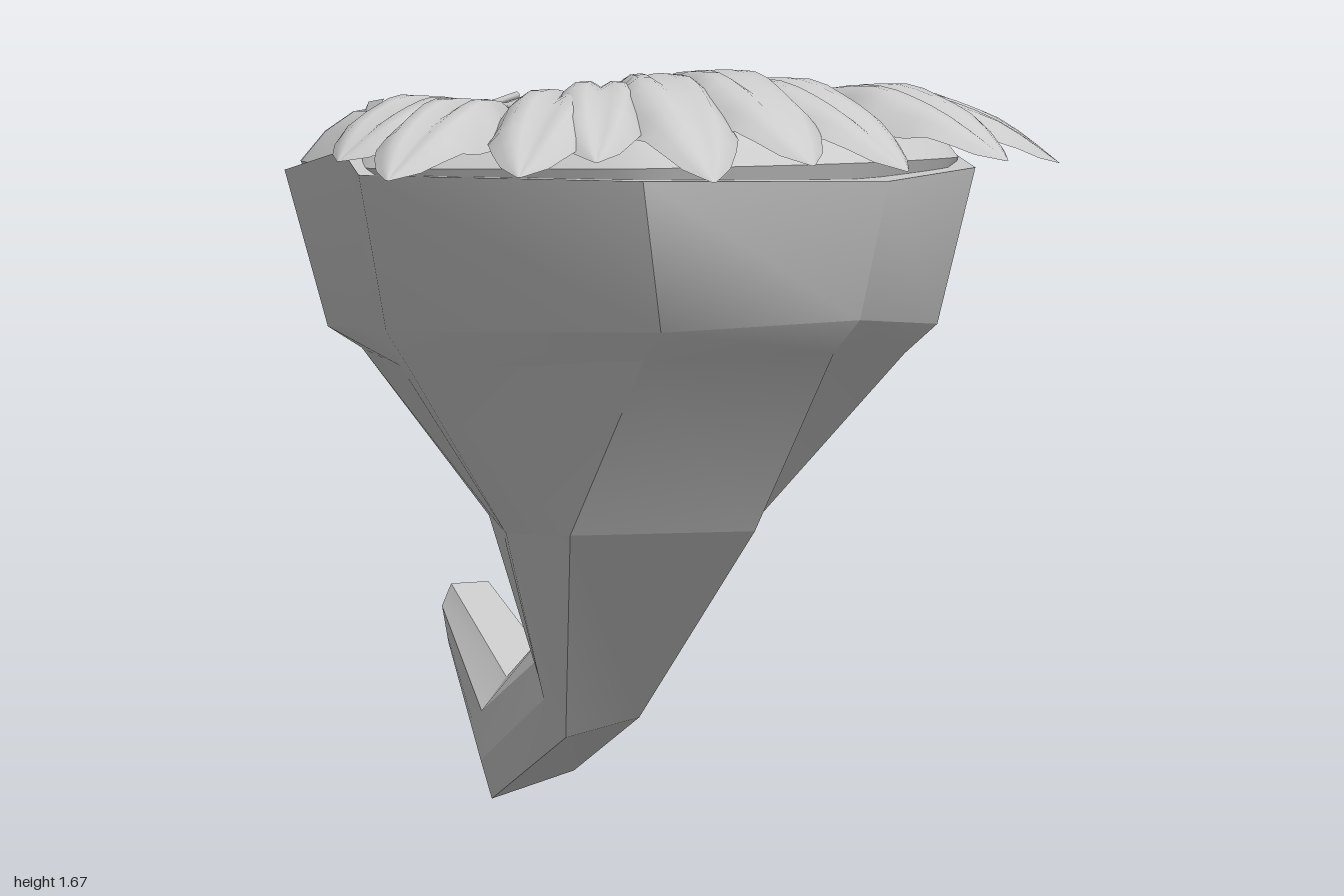
import * as THREE from 'three';
import { toCreasedNormals } from 'three/addons/utils/BufferGeometryUtils.js';

const V = (x, y, z) => new THREE.Vector3(x, y, z);

// Skin a list of closed rings (top to bottom, counter-clockwise from above) and cap both ends.
function loft(rings, crease) {
  const pos = [];
  const tri = (...p) => p.forEach((v) => pos.push(v.x, v.y, v.z));
  const n = rings[0].length;
  const mid = (r) => r.reduce((s, p) => s.add(p), V(0, 0, 0)).divideScalar(n);
  const first = rings[0], last = rings[rings.length - 1];
  const top = mid(first), bottom = mid(last);
  for (let j = 0; j < n; j++) {
    const k = (j + 1) % n;
    tri(top, first[j], first[k]);
    tri(bottom, last[k], last[j]);
    for (let i = 0; i + 1 < rings.length; i++) {
      const a = rings[i], b = rings[i + 1];
      tri(a[j], b[j], b[k]);
      tri(a[j], b[k], a[k]);
    }
  }
  const g = new THREE.BufferGeometry();
  g.setAttribute('position', new THREE.Float32BufferAttribute(pos, 3));
  return toCreasedNormals(g, crease);
}

// One horn section: half width, y, z of the front, side, back-side and back corners.
// rightFront replaces the first corners on -x; rise lifts a point between side and back-side.
function section(cx, corners, rightFront = [], rise = 0) {
  const half = (sign, list) => {
    const [front, side, backSide, back] = list.map(([w, y, z]) => V(cx + sign * w, y, z));
    const between = side.clone().lerp(backSide, 0.2);
    between.y += rise;
    return [front, side, between, backSide, back];
  };
  const minus = half(-1, corners.map((c, i) => rightFront[i] ?? c));
  return [...half(1, corners), ...minus.reverse()];
}

// A pointed leaf with a folded midrib and wavy edge, arching from its base down to its tip.
function leafGeometry(bx, bz, tx, tz, baseY, drop, half) {
  const rows = 12, cols = 8;
  const g = new THREE.PlaneGeometry(1, 1, cols, rows);
  const p = g.attributes.position;
  const dir = V(tx - bx, 0, tz - bz).normalize();
  for (let i = 0; i < p.count; i++) {
    const u = p.getX(i) * 2, t = 0.5 - p.getY(i);
    const w = half * Math.pow(Math.sin(Math.PI * Math.pow(t, 1.15)), 0.75) + 0.004;
    const fold = 0.025 * Math.sin(Math.abs(u) * Math.PI) - 0.045 * u * u + 0.012 * u * u * Math.sin(t * 18);
    const y = baseY + 0.14 * t * (1 - t) - drop * t * t + fold * Math.sin(Math.PI * t);
    p.setXYZ(i, bx + (tx - bx) * t - dir.z * u * w, y, bz + (tz - bz) * t + dir.x * u * w);
  }
  g.computeVertexNormals();
  return g;
}

export function createModel() {
  const group = new THREE.Group();
  const grey = new THREE.MeshStandardMaterial({ color: 0xcccccc });
  const thin = new THREE.MeshStandardMaterial({ color: 0xcccccc, side: THREE.DoubleSide });
  const faceted = new THREE.MeshStandardMaterial({ color: 0xcccccc, flatShading: true });
  const add = (name, geometry, material = grey) => {
    const m = new THREE.Mesh(geometry, material);
    m.name = name;
    group.add(m);
    return m;
  };

  // Bowl: six-sided and softly shaded, its -x front corner set back
  const waist = section(-0.03,
    [[0.18, 0.77, 0.48], [0.24, 0.75, 0.30], [0.22, 0.73, -0.03], [0.09, 0.73, -0.08]],
    [[0.19, 0.78, 0.47], [0.25, 0.74, 0.22]]);
  add('bowl', loft([
    section(-0.03,
      [[0.30, 1.48, 0.86], [0.56, 1.48, 0.64], [0.57, 1.42, -0.35], [0.05, 1.37, -0.63]],
      [[0.16, 1.49, 0.84], [0.57, 1.47, 0.36]], 0.045),
    section(-0.03,
      [[0.27, 1.22, 0.80], [0.50, 1.18, 0.61], [0.50, 1.10, -0.27], [0.04, 1.11, -0.51]],
      [[0.11, 1.21, 0.79], [0.50, 1.16, 0.27]]),
    section(-0.03,
      [[0.25, 1.15, 0.72], [0.45, 1.12, 0.57], [0.44, 1.06, -0.22], [0.05, 1.06, -0.42]],
      [[0.12, 1.15, 0.72], [0.45, 1.08, 0.26]]),
    waist,
  ], 0.75));

  // Tail: faceted, narrowing downwards then curling back and up
  add('tail', loft([
    waist,
    section(-0.03,
      [[0.08, 0.30, 0.045], [0.10, 0.34, -0.01], [0.09, 0.40, -0.12], [0.05, 0.46, -0.16]],
      [[0.08, 0.27, 0.05], [0.11, 0.34, -0.01]]),
    section(-0.03,
      [[0.09, 0.05, -0.48], [0.12, 0.17, -0.49], [0.11, 0.20, -0.49], [0.06, 0.27, -0.50]],
      [[0.10, 0, -0.48], [0.125, 0.09, -0.48], [0.12, 0.2, -0.49]]),
    section(-0.045, [[0.04, 0.22, -0.94], [0.065, 0.25, -0.95], [0.07, 0.33, -0.99], [0.045, 0.38, -1.0]]),
  ], 0.25));

  // Filling: shallow rounded slab, higher towards the front
  const outline = new THREE.CatmullRomCurve3([
    V(0.01, 0, -0.61), V(-0.33, 0, -0.48), V(-0.57, 0, -0.33), V(-0.58, 0, 0),
    V(-0.57, 0, 0.35), V(-0.36, 0, 0.6), V(-0.17, 0, 0.78), V(0.1, 0, 0.8), V(0.3, 0, 0.76),
    V(0.52, 0, 0.58), V(0.55, 0, 0.3), V(0.53, 0, -0.1), V(0.51, 0, -0.32), V(0.34, 0, -0.44),
  ], true, 'catmullrom', 0.3).getPoints(56).slice(0, 56);
  const slab = (scale, rise) => outline.map((p) => {
    const z = 0.1 + (p.z - 0.1) * scale;
    const low = 1.46 + 0.06 * z, high = 1.575 + 0.075 * z;
    return V(p.x * scale, low + (high - low) * rise, z);
  });
  add('filling', loft([
    slab(0.4, 1), slab(0.74, 0.98), slab(0.83, 0.9), slab(0.92, 0.55), slab(1, 0), slab(0.95, -0.7),
  ], 0.9));

  // Small ragged corners and a torn strip on the rim
  for (const [x, z] of [[0.47, -0.3], [-0.5, -0.29]]) {
    const corner = add('rimCorner', new THREE.ConeGeometry(0.07, 0.08, 3), faceted);
    corner.position.set(x, 1.475, z);
    corner.rotation.y = x > 0 ? 0.6 : -0.6;
  }
  const strip = new THREE.BufferGeometry().setFromPoints([
    V(-0.46, 1.57, -0.17), V(-0.46, 1.585, -0.03), V(-0.58, 1.5, 0.23),
    V(-0.46, 1.57, -0.17), V(-0.58, 1.5, 0.23), V(-0.57, 1.48, 0.1),
  ]);
  strip.computeVertexNormals();
  add('tornStrip', strip, thin);

  // Leaf fringe: base x, z, tip x, z, drop, half width; each with a little stem
  const leaves = [
    [-0.38, 0.42, -0.69, 0.6, 0.07, 0.11], [-0.34, 0.47, -0.65, 0.82, 0.09, 0.1],
    [-0.21, 0.52, -0.44, 0.92, 0.1, 0.1], [-0.17, 0.52, -0.3, 0.92, 0.09, 0.09],
    [-0.11, 0.5, -0.11, 1.0, 0.14, 0.1], [-0.02, 0.5, 0.08, 0.98, 0.12, 0.1],
    [0.05, 0.5, 0.27, 0.95, 0.12, 0.1], [0.24, 0.51, 0.47, 0.93, 0.09, 0.1],
    [0.25, 0.5, 0.68, 0.69, 0.1, 0.1],
  ];
  for (const [bx, bz, tx, tz, drop, half] of leaves) {
    const baseY = 1.65 - 0.09 * Math.abs(tx);
    add('leaf', leafGeometry(bx, bz, tx, tz, baseY, drop, half), thin);
    const d = V(tx - bx, 0, tz - bz).normalize();
    const path = new THREE.CatmullRomCurve3([
      V(bx + d.x * 0.06, baseY + 0.015, bz + d.z * 0.06),
      V(bx, baseY + 0.01, bz),
      V(bx - d.x * 0.1, Math.max(baseY - 0.02, 1.615), bz - d.z * 0.1),
    ]);
    add('leafStem', new THREE.TubeGeometry(path, 6, 0.007, 5));
  }
  return group;
}
